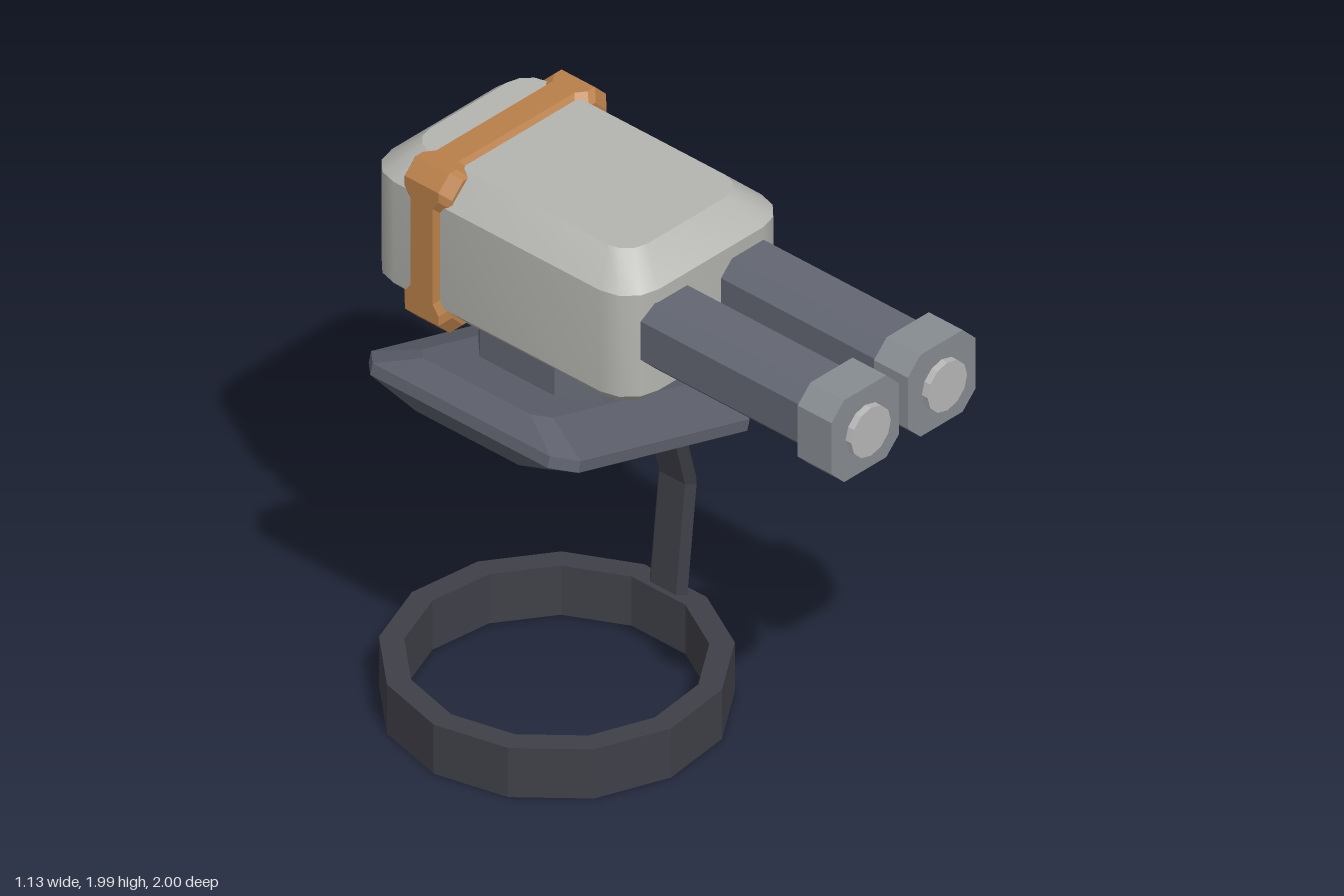
import * as THREE from 'three';
import { toCreasedNormals } from 'three/addons/utils/BufferGeometryUtils.js';
import { RoundedBoxGeometry } from 'three/addons/geometries/RoundedBoxGeometry.js';

const COLORS = {
  shell: 0xb4b4b0, orange: 0xb97f4a, steel: 0x636772, muzzle: 0x878c92,
  tip: 0xb8b8b8, plate: 0x5c5f6b, base: 0x3f3f48,
};

// Rectangle outline with cut (seg = 1) or rounded corners, as [x, z] pairs
function outline(hx, hz, r, seg = 1) {
  const pts = [];
  for (let q = 0; q < 4; q++) {
    const sx = q === 0 || q === 3 ? 1 : -1, sz = q < 2 ? 1 : -1;
    for (let k = 0; k <= seg; k++) {
      const a = (q + k / seg) * Math.PI / 2;
      pts.push([sx * (hx - r) + r * Math.cos(a), sz * (hz - r) + r * Math.sin(a)]);
    }
  }
  return pts;
}

// Place an outline at height y, optionally shifted
const layer = (pts, y, dx = 0, dz = 0) => pts.map(([x, z]) => [x + dx, y, z + dz]);

// Skin over loops stacked upwards in y, with closed ends
function loft(loops, crease = 0.1) {
  const n = loops[0].length, pos = loops.flat(2), idx = [];
  const centre = (loop) => {
    for (let c = 0; c < 3; c++) pos.push(loop.reduce((s, p) => s + p[c], 0) / n);
    return pos.length / 3 - 1;
  };
  const bottom = centre(loops[0]), top = centre(loops.at(-1));
  const last = (loops.length - 1) * n;
  for (let i = 0; i < n; i++) {
    const j = (i + 1) % n;
    for (let l = 0; l < last; l += n) {
      idx.push(l + i, l + n + i, l + n + j, l + i, l + n + j, l + j);
    }
    idx.push(bottom, i, j, top, last + j, last + i);
  }
  const g = new THREE.BufferGeometry();
  g.setAttribute('position', new THREE.Float32BufferAttribute(pos, 3));
  g.setIndex(idx);
  return toCreasedNormals(g, crease);
}

export function createModel() {
  const model = new THREE.Group();
  const add = (name, geometry, color, x = 0, y = 0, z = 0) => {
    const mesh = new THREE.Mesh(geometry, new THREE.MeshStandardMaterial({ color }));
    mesh.name = name;
    mesh.position.set(x, y, z);
    model.add(mesh);
    return mesh;
  };

  // Open base ring with thirteen sides
  const polygon = (r) => Array.from({ length: 13 }, (_, i) => {
    const a = Math.PI + i * Math.PI * 2 / 13;
    return new THREE.Vector2(r * Math.cos(a), r * Math.sin(a));
  });
  const ring = new THREE.Shape(polygon(0.56));
  ring.holes.push(new THREE.Path(polygon(0.48)));
  const ringGeometry = new THREE.ExtrudeGeometry(ring, { depth: 0.185, bevelEnabled: false });
  add('baseRing', ringGeometry.rotateX(-Math.PI / 2), COLORS.base, -0.01, 0, -0.425);

  // Bent arm with a six-sided section
  const hex = [[0.026, -0.055], [0.026, 0.055], [0, 0.08], [-0.026, 0.055], [-0.026, -0.055], [0, -0.08]];
  add('supportArm', loft([
    layer(hex, 0.13, 0.497, -0.425),
    layer(hex, 0.59, 0.534, -0.415),
    layer(hex, 1.04, 0.412, -0.405),
  ]), COLORS.base);

  // Tilted plate, bevelled above and below
  const plate = add('tiltedPlate', loft([
    layer(outline(0.41, 0.27, 0.05), -0.088),
    layer(outline(0.47, 0.45, 0.07), -0.02),
    layer(outline(0.47, 0.45, 0.07), 0.02),
    layer(outline(0.415, 0.28, 0.05), 0.091),
  ]), COLORS.plate, -0.018, 1.18, -0.405);
  plate.rotation.z = -0.277;

  // Neck
  const neck = outline(0.263, 0.265, 0.105);
  add('neck', loft([layer(neck, 1.27), layer(neck, 1.45)]), COLORS.steel, 0.053, 0, -0.405);

  // Main housing
  const full = outline(0.368, 0.572, 0.13, 3), inset = outline(0.268, 0.468, 0.09, 3);
  add('housing', loft([
    layer(inset, 1.4), layer(full, 1.5), layer(full, 1.88), layer(inset, 1.975),
  ], 0.6), COLORS.shell, 0.09, 0, -0.428);

  // Band around the housing, deeper at its four corners: [x, height, half depth]
  const corner = [
    [0.382, 0.18, 0.077], [0.382, 0.215, 0.102], [0.382, 0.25, 0.102],
    [0.332, 0.3, 0.102], [0.3, 0.3, 0.102], [0.265, 0.3, 0.077],
  ];
  const around = [[1, 1], [-1, 1], [-1, -1], [1, -1]].flatMap(([sx, sy]) => {
    const part = corner.map(([x, y, d]) => [sx * x, sy * y, d]);
    return sx * sy > 0 ? part : part.reverse();
  });
  const bandLoop = (side, bevel) => around.map(([x, y, d]) => [
    x - Math.sign(x) * bevel, side * (d - 0.03 + bevel), y - Math.sign(y) * bevel,
  ]);
  add('housingBand', loft([
    bandLoop(-1, 0.03), bandLoop(-1, 0), bandLoop(1, 0), bandLoop(1, 0.03),
  ]).rotateX(Math.PI / 2), COLORS.orange, 0.088, 1.69, -0.735);

  // Raised panel on the left side
  add('sidePanel', new RoundedBoxGeometry(0.06, 0.16, 0.655, 1, 0.01), COLORS.shell, 0.454, 1.765, -0.362);

  // Twin barrels with muzzles and round tips
  const barrel = outline(0.122, 0.122, 0.05), muzzle = outline(0.154, 0.154, 0.058);
  const alongZ = (pts, z0, z1) => loft([layer(pts, z0), layer(pts, z1)]).rotateX(Math.PI / 2);
  for (const [side, x] of [['right', -0.09], ['left', 0.258]]) {
    add(side + 'Barrel', alongZ(barrel, 0.05, 0.85), COLORS.steel, x, 1.71);
    add(side + 'Muzzle', alongZ(muzzle, 0.83, 0.975), COLORS.muzzle, x, 1.71);
    const tip = new THREE.CylinderGeometry(0.09, 0.09, 0.04, 12).rotateX(Math.PI / 2);
    add(side + 'MuzzleTip', toCreasedNormals(tip, 0.1), COLORS.tip, x, 1.71, 0.98);
  }
  return model;
}
